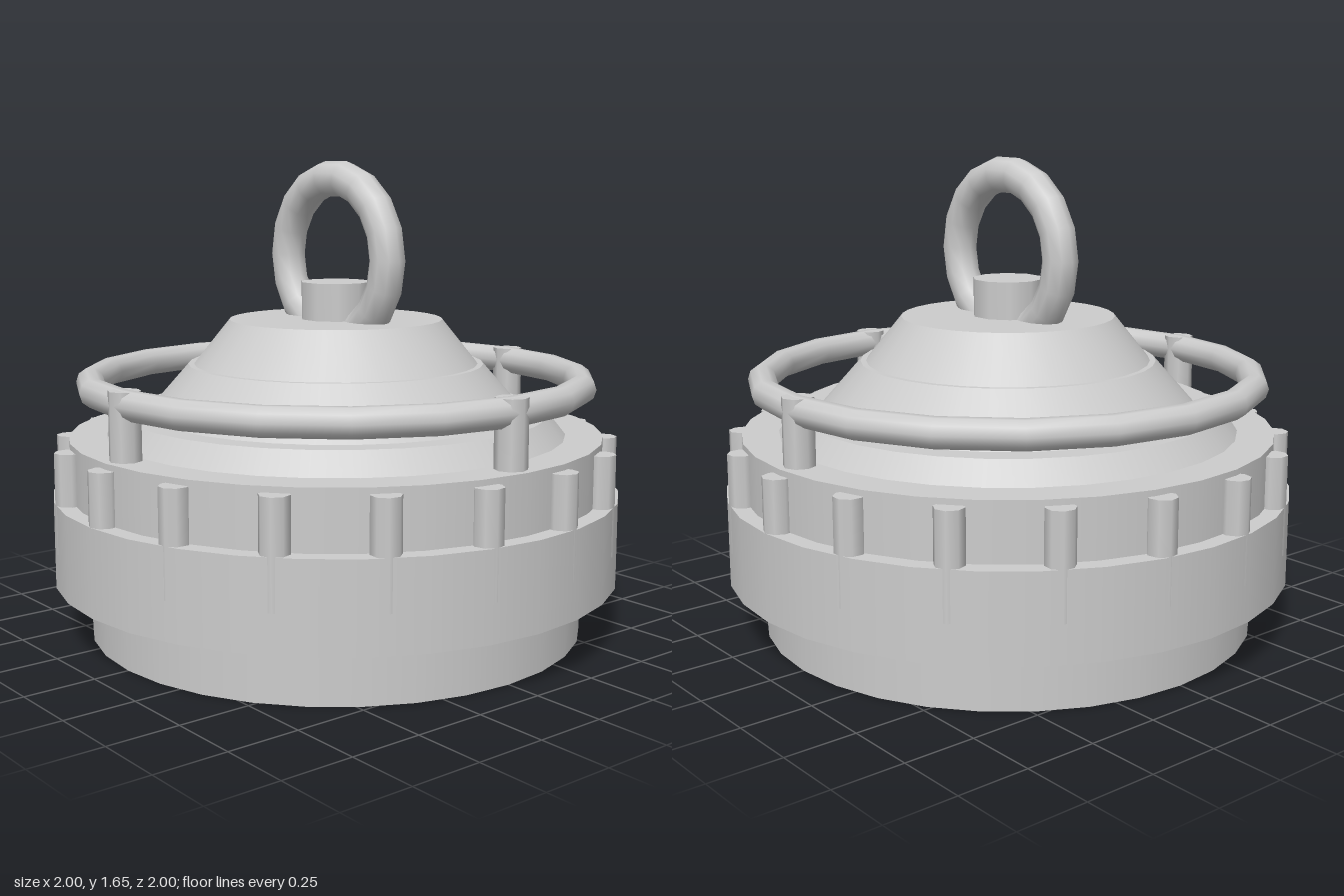
import * as THREE from 'three';
import { mergeGeometries } from 'three/addons/utils/BufferGeometryUtils.js';

const grey = new THREE.MeshStandardMaterial({ color: 0xcccccc });
grey.name = 'lightGrey';

// Lathe with a hard edge at every profile point, smooth around the axis
function hardLathe(profile, sides) {
  const bands = [];
  for (let i = 0; i < profile.length - 1; i++) {
    const pair = [profile[i], profile[i + 1]].map(([r, y]) => new THREE.Vector2(r, y));
    bands.push(new THREE.LatheGeometry(pair, sides));
  }
  return mergeGeometries(bands);
}

export function createModel() {
  const model = new THREE.Group();
  const add = (name, geometry, x = 0, y = 0, z = 0) => {
    const mesh = new THREE.Mesh(geometry, grey);
    mesh.name = name;
    mesh.position.set(x, y, z);
    model.add(mesh);
    return mesh;
  };

  // Hollow foot and wide collar
  add('base', hardLathe([
    [0, 0.135], [0.785, 0.135], [0.785, 0], [0.875, 0], [0.875, 0.2],
    [1, 0.2], [1, 0.5], [0.94, 0.5],
  ], 32));

  // Stepped conical lid
  add('lid', hardLathe([
    [0.94, 0.5], [0.94, 0.7], [0.81, 0.7], [0.75, 0.775], [0.67, 0.775],
    [0.52, 0.945], [0.5, 0.945], [0.375, 1.1], [0, 1.1],
  ], 32));

  // Grip lugs around the collar
  const lugGeometry = new THREE.CylinderGeometry(0.05, 0.05, 0.35, 8);
  for (let i = 0; i < 18; i++) {
    const a = (i / 18) * Math.PI * 2;
    const lug = add('gripLug', lugGeometry, 0.95 * Math.cos(a), 0.505, 0.95 * Math.sin(a));
    lug.rotation.y = -a;
  }

  // Guard ring on three posts
  const guard = add('guardRing', new THREE.TorusGeometry(0.865, 0.05, 10, 20), 0, 0.88, 0);
  guard.rotation.x = Math.PI / 2;
  const postGeometry = new THREE.CylinderGeometry(0.054, 0.054, 0.24, 8);
  for (const [x, z] of [[0.865, 0], [-0.865, 0], [0, 0.865]]) {
    add('guardPost', postGeometry, x, 0.807, z);
  }

  // Top stud and lifting ring
  add('topStud', new THREE.CylinderGeometry(0.125, 0.125, 0.14, 10), 0, 1.16, 0);
  const handle = add('liftingRing', new THREE.TorusGeometry(0.275, 0.062, 10, 18), 0, 1.315, 0);
  handle.rotation.y = Math.PI / 2;

  return model;
}
